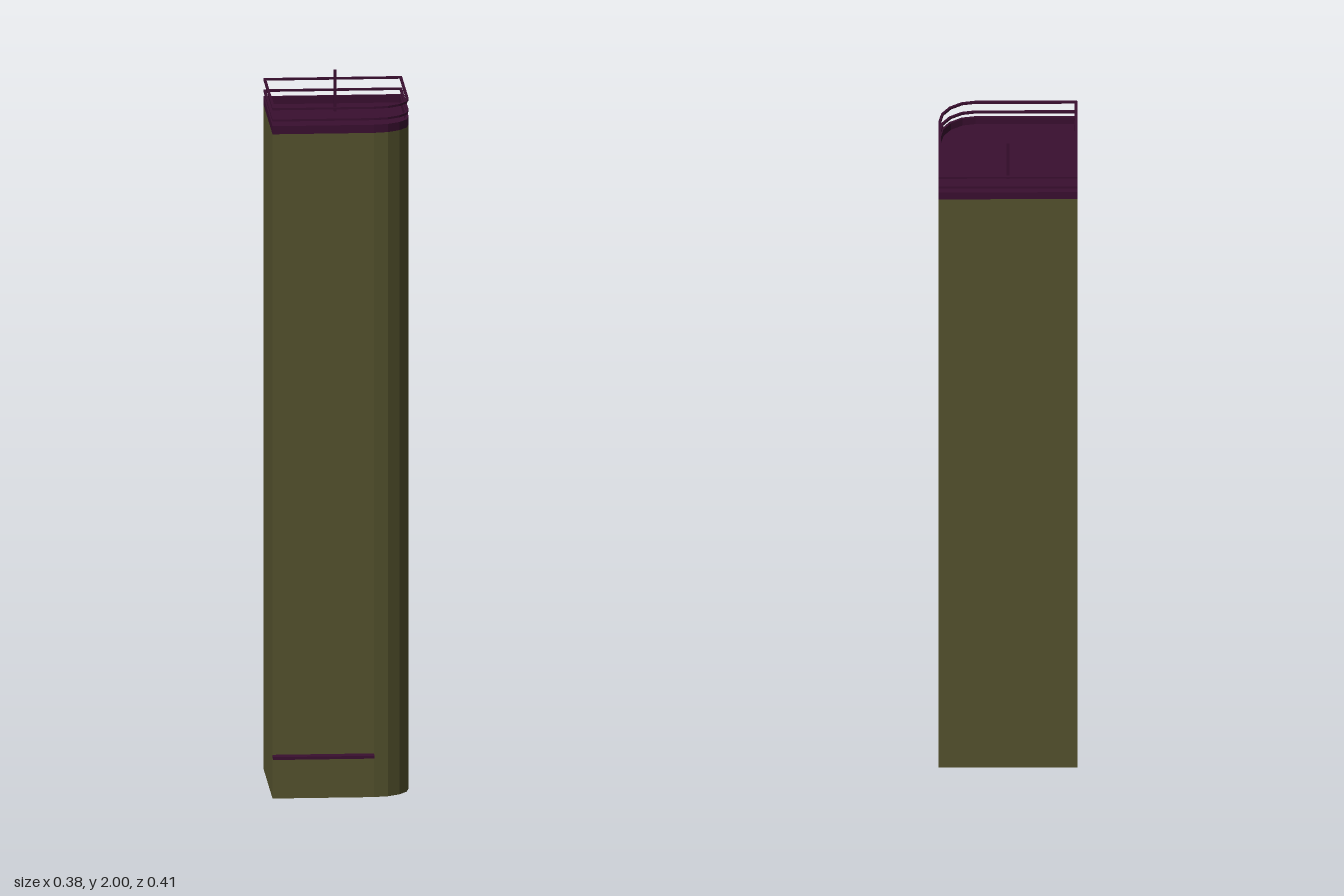
import * as THREE from 'three';

const HALF = 0.192, BACK = -0.207, FRONT = 0.176, RADIUS = 0.103;
const ROOF = 1.882;

// Footprint in (x, z): a square with one rounded corner at front +x
function footprint(inset = 0) {
  const x = HALF - inset, r = RADIUS - inset;
  const pts = [[-x, BACK + inset], [x, BACK + inset]];
  for (let i = 0; i <= 4; i++) {
    const a = (i / 4) * Math.PI / 2;
    pts.push([HALF - RADIUS + r * Math.cos(a), FRONT - RADIUS + r * Math.sin(a)]);
  }
  pts.push([-x, FRONT - inset]);
  return pts.map(([px, pz]) => new THREE.Vector2(px, pz));
}

// Thin hollow band that follows the footprint
function band(y0, y1, thickness) {
  const shape = new THREE.Shape(footprint());
  shape.holes.push(new THREE.Path(footprint(thickness)));
  const geo = new THREE.ExtrudeGeometry(shape, { depth: y1 - y0, bevelEnabled: false });
  return geo.rotateX(Math.PI / 2).translate(0, y1, 0);
}

// Open-ended shell of the tower
function shell(height) {
  const pts = footprint(), pos = [];
  pts.forEach((a, i) => {
    const b = pts[(i + 1) % pts.length];
    pos.push(a.x, 0, a.y, a.x, height, a.y, b.x, height, b.y);
    pos.push(a.x, 0, a.y, b.x, height, b.y, b.x, 0, b.y);
  });
  const geo = new THREE.BufferGeometry();
  geo.setAttribute('position', new THREE.Float32BufferAttribute(pos, 3));
  geo.computeVertexNormals();
  return geo;
}

export function createModel() {
  const group = new THREE.Group();
  const olive = new THREE.MeshStandardMaterial({ name: 'olive', color: 0x55532e, flatShading: true, side: THREE.DoubleSide });
  const plum = new THREE.MeshStandardMaterial({ name: 'plum', color: 0x3a0f30, flatShading: true, side: THREE.DoubleSide });
  const add = (name, geo, mat) => {
    const mesh = new THREE.Mesh(geo, mat);
    mesh.name = name;
    group.add(mesh);
    return mesh;
  };

  add('towerWalls', shell(ROOF), olive);

  // Roof deck sunk behind a low parapet
  const deck = new THREE.ShapeGeometry(new THREE.Shape(footprint(0.001)));
  deck.rotateX(Math.PI / 2);
  // Turn the faces upward
  const idx = deck.index;
  for (let i = 0; i < idx.count; i += 3) {
    const t = idx.getX(i);
    idx.setX(i, idx.getX(i + 1));
    idx.setX(i + 1, t);
  }
  deck.computeVertexNormals();
  deck.translate(0, ROOF + 0.001, 0);
  add('roofDeck', deck, plum);
  add('parapet', band(ROOF, 1.905, 0.007), plum);

  // Two floating guard rails
  [1.921, 1.953].forEach((y, i) => add(`guardRail${i + 1}`, band(y - 0.003, y + 0.003, 0.007), plum));

  // Roof mast
  const mast = new THREE.BoxGeometry(0.008, 2 - ROOF, 0.008);
  add('mast', mast, plum).position.set(0, (2 + ROOF) / 2, -0.102);

  // Canopy over the flat part of the front
  const x0 = -HALF, x1 = HALF - RADIUS, depth = 0.207 - FRONT;
  add('canopy', new THREE.BoxGeometry(x1 - x0, 0.008, depth), plum)
    .position.set((x0 + x1) / 2, 0.12, FRONT + depth / 2);

  return group;
}
